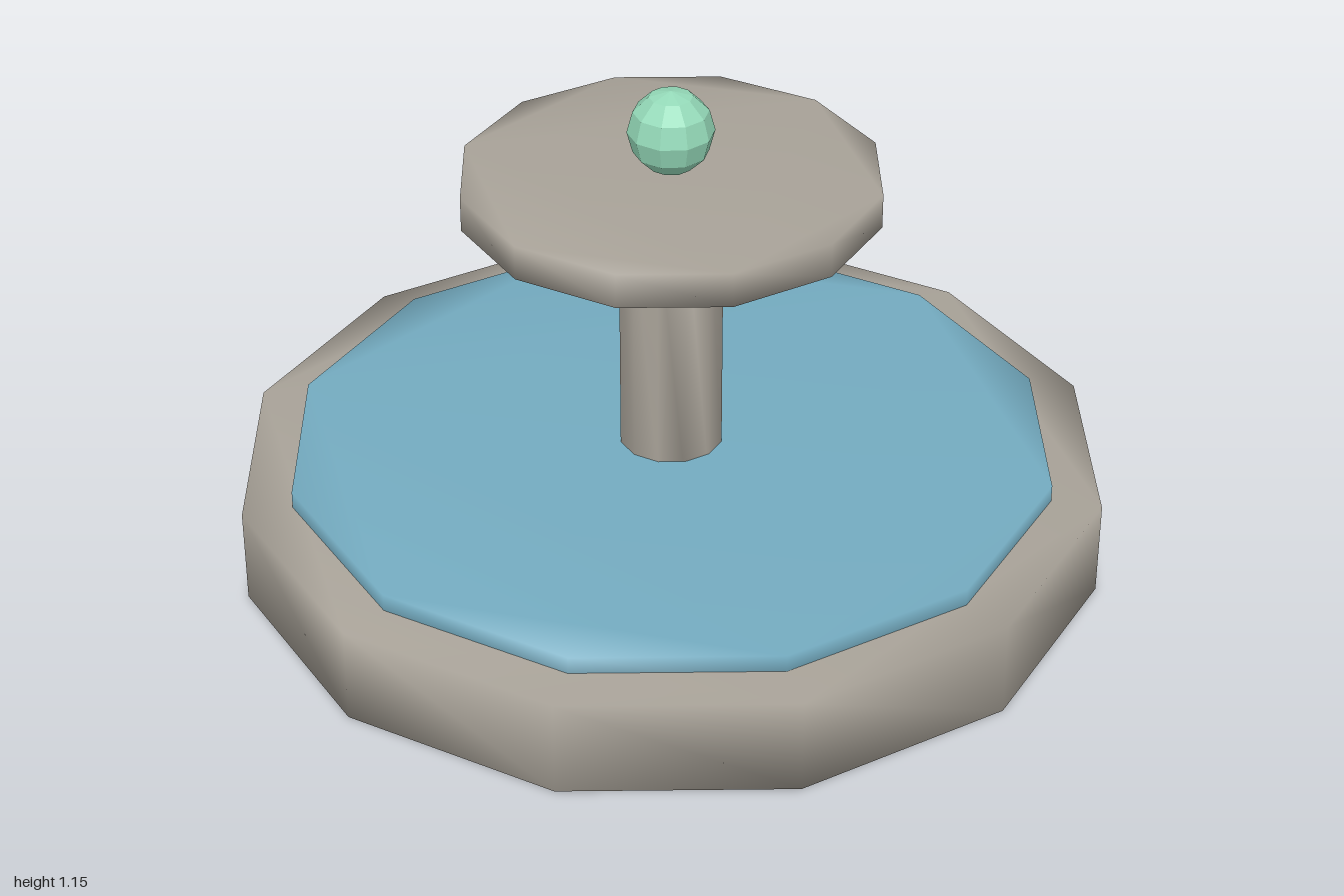
import * as THREE from 'three';
import { mergeVertices } from 'three/addons/utils/BufferGeometryUtils.js';

export function createModel() {
  const model = new THREE.Group();
  model.name = 'fountain';

  const material = (name, color) => {
    const m = new THREE.MeshStandardMaterial({ color });
    m.name = name;
    return m;
  };
  const stone = material('stone', 0xa8a298);
  const water = material('water', 0x74abc0);
  const glaze = material('greenGlaze', 0x94d9b8);

  function addPart(name, geometry, mat) {
    const mesh = new THREE.Mesh(geometry, mat);
    mesh.name = name;
    model.add(mesh);
    return mesh;
  }

  // Twelve-sided drum whose normals blend softly over the rims
  function drum(radius, bottom, top, sides = 12) {
    const corners = Array.from({ length: sides }, (_, i) => {
      const a = (i / sides) * Math.PI * 2;
      return new THREE.Vector2(Math.cos(a) * radius, Math.sin(a) * radius);
    });
    let g = new THREE.ExtrudeGeometry(new THREE.Shape(corners), {
      depth: top - bottom,
      bevelEnabled: false,
    });
    g.rotateX(-Math.PI / 2).translate(0, bottom, 0);
    g.deleteAttribute('normal');
    g.deleteAttribute('uv');
    g.clearGroups();
    g = mergeVertices(g, 1e-4);
    g.computeVertexNormals();
    return g;
  }

  // Basin, water and raised dish
  addPart('basin', drum(1, 0, 0.223), stone);
  addPart('waterSurface', drum(0.885, 0.18, 0.263), water);
  addPart('column', drum(0.12, 0.2, 0.88), stone);
  addPart('upperDish', drum(0.475, 0.873, 0.953), stone);

  // Faceted ball on top
  const ball = new THREE.SphereGeometry(0.0975, 10, 6).toNonIndexed();
  ball.rotateY(Math.PI / 2);
  ball.computeVertexNormals();
  addPart('finialBall', ball, glaze).position.y = 1.05;

  return model;
}
